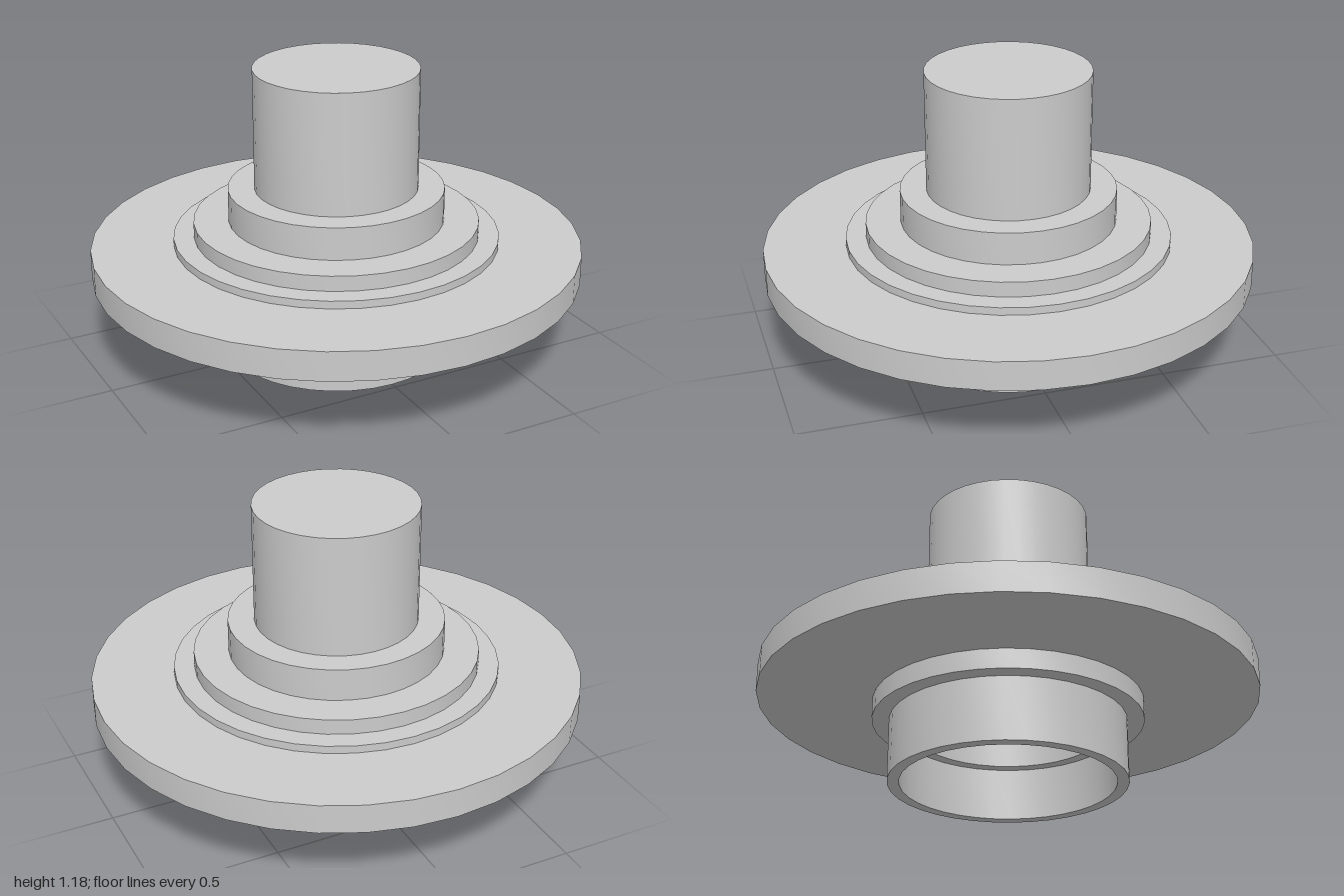
import * as THREE from 'three';
import { toCreasedNormals } from 'three/addons/utils/BufferGeometryUtils.js';

const SIDES = 36;

// Each part is a stretch of one continuous turned profile, as [radius, height]
// running from the bore ceiling, out under the rim and up to the shaft cap.
const PARTS = {
  steppedBore: [[0, 0.375], [0.38, 0.375], [0.38, 0.215], [0.428, 0.215], [0.428, 0]],
  lowerSleeve: [[0.428, 0], [0.475, 0], [0.475, 0.255]],
  lowerCollar: [[0.475, 0.255], [0.543, 0.255], [0.543, 0.335]],
  flange: [[0.543, 0.335], [1, 0.335], [1, 0.455], [0.665, 0.455]],
  raisedFace: [[0.665, 0.455], [0.665, 0.487], [0.582, 0.487]],
  middleStep: [[0.582, 0.487], [0.582, 0.55], [0.44, 0.55]],
  upperStep: [[0.44, 0.55], [0.44, 0.685], [0.333, 0.685]],
  shaft: [[0.333, 0.685], [0.333, 1.185], [0, 1.185]],
};

export function createModel() {
  const group = new THREE.Group();
  group.name = 'flangedHub';
  const material = new THREE.MeshStandardMaterial({ color: 0xcccccc });

  for (const [name, profile] of Object.entries(PARTS)) {
    const points = profile.map(([r, y]) => new THREE.Vector2(r, y));
    // Smooth around the axis, sharp at every step
    const geometry = toCreasedNormals(new THREE.LatheGeometry(points, SIDES), 0.6);
    const mesh = new THREE.Mesh(geometry, material);
    mesh.name = name;
    group.add(mesh);
  }
  return group;
}
